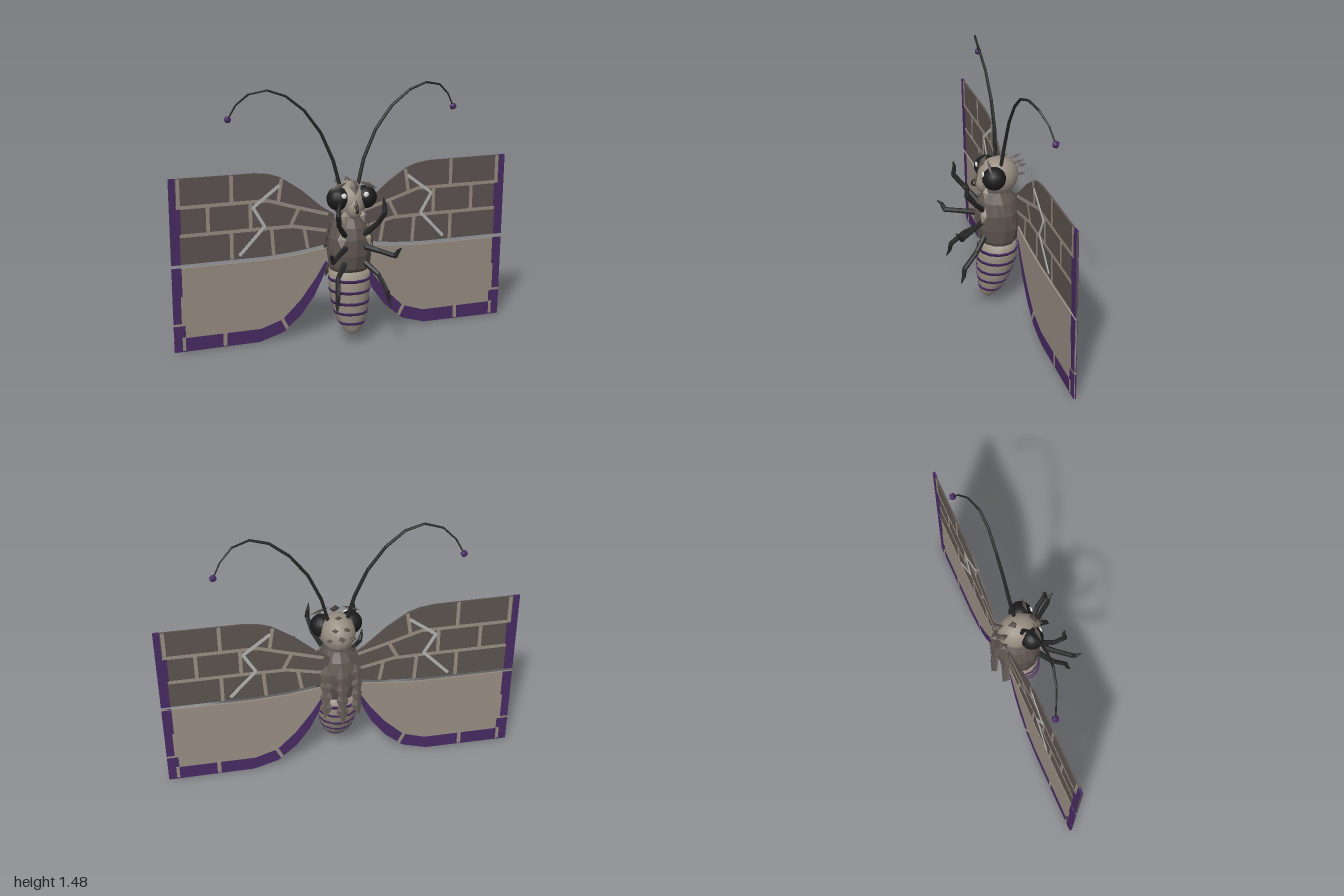
import * as THREE from 'three';
import { mergeGeometries } from 'three/addons/utils/BufferGeometryUtils.js';

const V = (x, y, z) => new THREE.Vector3(x, y, z);
const paint = (name, color, flatShading = false) => {
  const m = new THREE.MeshStandardMaterial({ color, flatShading });
  m.name = name;
  return m;
};

export function createModel() {
  const model = new THREE.Group();
  const taupe = paint('taupe', 0x978d81);
  const brick = paint('brick brown', 0x5b5350);
  const fur = paint('dark fur', 0x5c544f, true);
  const purple = paint('purple', 0x472a62);
  const black = paint('black', 0x262626, true);
  const eyeBlack = paint('eye black', 0x1c1c1c);
  const silver = paint('silver', 0xb2b2b0);
  const white = paint('white', 0xf0f0f0);

  const add = (parent, name, geo, mat) => {
    const mesh = new THREE.Mesh(geo, mat);
    mesh.name = name;
    parent.add(mesh);
    return mesh;
  };

  // Closed loft through elliptical rings [y, centreZ, radiusX, radiusZ]
  function loft(rings, sides = 14) {
    const pos = [], idx = [];
    const closed = [[rings[0][0], rings[0][1], 0, 0], ...rings, [rings.at(-1)[0], rings.at(-1)[1], 0, 0]];
    closed.forEach(([y, cz, rx, rz], r) => {
      for (let i = 0; i < sides; i++) {
        const a = (i / sides) * Math.PI * 2;
        pos.push(Math.sin(a) * rx, y, cz + Math.cos(a) * rz);
        if (r === 0) continue;
        const j = (i + 1) % sides, p = (r - 1) * sides, q = r * sides;
        idx.push(p + i, p + j, q + j, p + i, q + j, q + i);
      }
    });
    const g = new THREE.BufferGeometry();
    g.setAttribute('position', new THREE.Float32BufferAttribute(pos, 3));
    g.setIndex(idx);
    g.computeVertexNormals();
    return g;
  }

  // Pointed diamond scale running from base to tip, its flat side facing out
  function leaf(name, mat, base, tip, width, out, thick = 0.022) {
    const y = tip.clone().sub(base), len = y.length();
    y.normalize();
    const x = y.clone().cross(out).normalize(), z = x.clone().cross(y);
    const g = new THREE.OctahedronGeometry(1).scale(width / 2, len / 2, thick / 2);
    g.applyMatrix4(new THREE.Matrix4().makeBasis(x, y, z).setPosition(base.clone().add(tip).multiplyScalar(0.5)));
    return add(model, name, g, mat);
  }

  // Tapered, jointed limb through points
  function limb(name, pts, radii, mat) {
    const parts = [];
    pts.forEach((p, i) => {
      parts.push(new THREE.SphereGeometry(radii[i], 6, 4).translate(p.x, p.y, p.z));
      if (i === 0) return;
      const d = p.clone().sub(pts[i - 1]);
      const g = new THREE.CylinderGeometry(radii[i], radii[i - 1], d.length(), 6);
      g.applyQuaternion(new THREE.Quaternion().setFromUnitVectors(V(0, 1, 0), d.clone().normalize()));
      const m = p.clone().add(pts[i - 1]).multiplyScalar(0.5);
      parts.push(g.translate(m.x, m.y, m.z));
    });
    return add(model, name, mergeGeometries(parts), mat);
  }

  // Abdomen with purple rings
  const abdomen = [
    [0.06, 0.01, 0.03, 0.025], [0.08, 0.008, 0.052, 0.045], [0.13, -0.01, 0.08, 0.072], [0.2, -0.025, 0.102, 0.096],
    [0.28, -0.04, 0.115, 0.111], [0.35, -0.047, 0.121, 0.118], [0.43, -0.05, 0.119, 0.105]];
  add(model, 'abdomen', loft(abdomen), taupe);
  const ringAt = (y, grow) => {
    const i = abdomen.findIndex((r) => r[0] >= y), a = abdomen[i - 1], b = abdomen[i];
    const r = a.map((v, k) => THREE.MathUtils.lerp(v, b[k], (y - a[0]) / (b[0] - a[0])));
    return [y, r[1], r[2] + grow, r[3] + grow];
  };
  for (const y of [0.125, 0.185, 0.245, 0.312, 0.378])
    add(model, 'abdomenStripe', loft([ringAt(y - 0.008, 0.003), ringAt(y + 0.008, 0.003)]), purple);

  // Thorax
  add(model, 'thorax', loft([
    [0.415, -0.05, 0.105, 0.09], [0.45, -0.052, 0.12, 0.117], [0.53, -0.055, 0.129, 0.135], [0.62, -0.055, 0.125, 0.135],
    [0.69, -0.05, 0.1, 0.113], [0.73, -0.045, 0.07, 0.08], [0.76, -0.045, 0.05, 0.06]], 12), fur);

  // Collar of diamond scales round the thorax
  for (let i = 0; i < 10; i++) {
    const a = (i / 10) * Math.PI * 2, s = Math.sin(a), c = Math.cos(a);
    leaf('collarScale', fur, V(s * 0.107, 0.705, -0.05 + c * 0.115), V(s * 0.137, 0.55, -0.055 + c * 0.142),
      0.075, V(s, 0.2, c));
  }

  // Overlapping scales down the back
  for (let row = 0; row < 4; row++) {
    const y = 0.69 - row * 0.075;
    for (const x of [-0.085, 0, 0.085]) {
      const z = -0.17 + Math.abs(x) * 0.4 - (row > 0 ? 0.01 : 0);
      const drop = x === 0 ? 0.15 : 0.125;
      leaf('backScale', fur, V(x * 0.9, y, z), V(x * 1.15, y - drop, z - 0.05), 0.07, V(x * 4, 0.2, -1));
    }
  }

  // Head and face
  const head = add(model, 'head', new THREE.SphereGeometry(1, 14, 10), taupe);
  head.scale.set(0.1, 0.11, 0.118);
  head.position.set(0, 0.83, -0.05);
  const muzzle = add(model, 'muzzle', new THREE.SphereGeometry(1, 10, 8), taupe);
  muzzle.scale.set(0.045, 0.06, 0.04);
  muzzle.position.set(0, 0.8, 0.04);
  leaf('foreheadScale', fur, V(0, 0.965, 0.015), V(0, 0.885, 0.065), 0.06, V(0, 0.5, 1));
  leaf('noseScale', fur, V(0, 0.86, 0.07), V(0, 0.785, 0.085), 0.03, V(0, 0, 1));
  const proboscis = add(model, 'proboscis', new THREE.TorusGeometry(0.018, 0.006, 6, 12, 5.2), black);
  proboscis.rotation.y = Math.PI / 2;
  proboscis.position.set(0, 0.805, 0.083);

  // Tuft of spikes on the crown and back of the head
  leaf('crownSpike', fur, V(0, 0.92, -0.04), V(0, 0.955, -0.11), 0.045, V(0, 1, 0));
  for (const [y, z, ty, tz, x] of [[0.9, -0.12, 0.925, -0.195, 0.03], [0.865, -0.15, 0.875, -0.22, 0], [0.85, -0.14, 0.86, -0.19, 0.06]])
    for (const s of x ? [-1, 1] : [1])
      leaf('headSpike', fur, V(s * x, y, z), V(s * x * 1.2, ty, tz), 0.04, V(0, 1, 0));

  // Thin plate in the wing plane, and straight bars laid over it
  function plate(parent, name, pts, s, depth, mat) {
    const shape = new THREE.Shape(pts.map(([x, y]) => new THREE.Vector2(x * s, y)));
    return add(parent, name, new THREE.ExtrudeGeometry(shape, { depth, bevelEnabled: false }).translate(0, 0, -depth / 2), mat);
  }
  function bars(parent, name, pts, s, w, depth, mat) {
    for (let i = 1; i < pts.length; i++) {
      const [ax, ay] = pts[i - 1], [bx, by] = pts[i], len = Math.hypot(bx - ax, by - ay);
      const g = new THREE.BoxGeometry(len + w * 0.3, w, depth).rotateZ(Math.atan2(by - ay, (bx - ax) * s));
      add(parent, name, g.translate(((ax + bx) / 2) * s, (ay + by) / 2, 0), mat);
    }
  }
  const rect = (x0, y0, x1, y1) => [[x0, y0], [x1, y0], [x1, y1], [x0, y1]];

  for (const s of [1, -1]) {
    const side = s > 0 ? 'left' : 'right';

    // Upper wing: brick pattern, purple tip, silver crack
    const wings = new THREE.Group();
    wings.name = side + 'Wings';
    wings.position.z = -0.156;
    wings.rotation.x = 0.024;
    model.add(wings);
    plate(wings, 'upperWing', [[0.06, 0.73], [0.134, 0.78], [0.257, 0.89], [0.375, 0.97], [0.44, 0.993], [0.52, 1.004], [1, 1.006],
      [1, 0.517], [0.47, 0.517], [0.3, 0.528], [0.176, 0.545], [0.06, 0.565]], s, 0.01, brick);
    const mortar = [
      [[0.1, 0.735], [0.3, 0.795], [0.45, 0.843], [0.96, 0.843]],
      [[0.1, 0.635], [0.3, 0.68], [0.47, 0.682], [0.96, 0.682]],
      [[0.655, 0.845], [0.655, 1.0]], [[0.39, 0.83], [0.37, 0.96]],
      [[0.79, 0.685], [0.79, 0.84]], [[0.55, 0.685], [0.55, 0.84]], [[0.32, 0.685], [0.27, 0.785]],
      [[0.66, 0.522], [0.66, 0.68]], [[0.42, 0.525], [0.43, 0.68]], [[0.22, 0.545], [0.24, 0.665]],
      [[0.95, 0.845], [0.95, 1.0]]];
    mortar.forEach((line) => bars(wings, 'mortar', line, s, 0.02, 0.013, taupe));
    for (const r of [[0.965, 0.835, 1, 1.006], [0.94, 0.69, 1, 0.835], [0.948, 0.517, 1, 0.69]])
      plate(wings, 'upperWingTip', rect(...r), s, 0.014, purple);
    bars(wings, 'crack', [[0.385, 0.925], [0.535, 0.81], [0.47, 0.695], [0.615, 0.54]], s, 0.018, 0.018, silver);

    // Lower wing with purple border and taupe tabs
    const outer = [[1, 0], [0.51, 0.003], [0.37, 0.045], [0.26, 0.14], [0.18, 0.25], [0.13, 0.355], [0.1, 0.45]];
    const inner = [[0.115, 0.45], [0.165, 0.365], [0.26, 0.235], [0.37, 0.125], [0.5, 0.082], [1, 0.082]];
    plate(wings, 'lowerWing', [[0.06, 0.54], [0.176, 0.522], [0.3, 0.505], [0.47, 0.495], [1, 0.495], ...outer, [0.06, 0.5]], s, 0.01, taupe);
    plate(wings, 'lowerWingBorder', [...outer, ...inner], s, 0.014, purple);
    for (const r of [[0.945, 0.33, 1, 0.495], [0.955, 0.17, 1, 0.33], [0.935, 0.082, 1, 0.155]])
      plate(wings, 'lowerWingTip', rect(...r), s, 0.014, purple);
    bars(wings, 'borderTab', [[0.71, 0.01], [0.71, 0.085]], s, 0.022, 0.016, taupe);
    bars(wings, 'borderTab', [[0.945, 0.01], [0.945, 0.085]], s, 0.018, 0.016, taupe);
    bars(wings, 'borderTab', [[0.345, 0.07], [0.375, 0.13]], s, 0.02, 0.016, taupe);

    // Eye with highlight, and brow
    const eye = add(model, side + 'Eye', new THREE.SphereGeometry(0.066, 14, 10), eyeBlack);
    eye.position.set(s * 0.08, 0.853, -0.004);
    const glint = add(model, side + 'EyeGlint', new THREE.SphereGeometry(0.016, 8, 6), white);
    glint.scale.z = 0.4;
    glint.position.set(s * 0.065, 0.88, 0.055);
    leaf(side + 'Brow', fur, V(s * 0.035, 0.95, 0.02), V(s * 0.14, 0.905, 0.03), 0.03, V(0, 0.6, 1));

    // Pale cheek and shoulder tufts
    leaf(side + 'CheekTuft', taupe, V(s * 0.045, 0.8, 0.03), V(s * 0.06, 0.715, 0.045), 0.05, V(s * 0.4, 0, 1), 0.03);
    leaf(side + 'ShoulderTuft', taupe, V(s * 0.075, 0.68, 0.045), V(s * 0.085, 0.58, 0.07), 0.05, V(s * 0.6, 0, 1), 0.03);

    // Antenna with purple knob
    const feeler = [[0.045, 0.88, -0.05], [0.09, 1.06, -0.06], [0.16, 1.22, -0.06], [0.255, 1.35, -0.058], [0.36, 1.435, -0.053],
      [0.46, 1.47, -0.06], [0.555, 1.45, -0.085], [0.62, 1.39, -0.115], [0.663, 1.31, -0.135]];
    limb(side + 'Antenna', feeler.map(([x, y, z]) => V(s * x, y, z)), feeler.map((_, i) => 0.011 - i * 0.0009), black);
    const knob = add(model, side + 'AntennaKnob', new THREE.IcosahedronGeometry(0.021, 0), purple);
    knob.position.set(s * 0.663, 1.31, -0.135);

    // Three jointed legs
    const legs = {
      FrontLeg: [[0.055, 0.645, 0.045], [0.115, 0.73, 0.115], [0.135, 0.8, 0.17], [0.13, 0.85, 0.165], [0.125, 0.885, 0.172]],
      MiddleLeg: [[0.06, 0.58, 0.06], [0.125, 0.568, 0.14], [0.18, 0.558, 0.212], [0.193, 0.59, 0.225], [0.2, 0.612, 0.25]],
      HindLeg: [[0.055, 0.49, 0.04], [0.12, 0.425, 0.11], [0.145, 0.345, 0.188], [0.152, 0.3, 0.195], [0.158, 0.262, 0.212]]
    };
    for (const [name, pts] of Object.entries(legs))
      limb(side + name, pts.map(([x, y, z]) => V(s * x, y, z)), [0.018, 0.014, 0.014, 0.011, 0.003], black);
  }
  return model;
}
